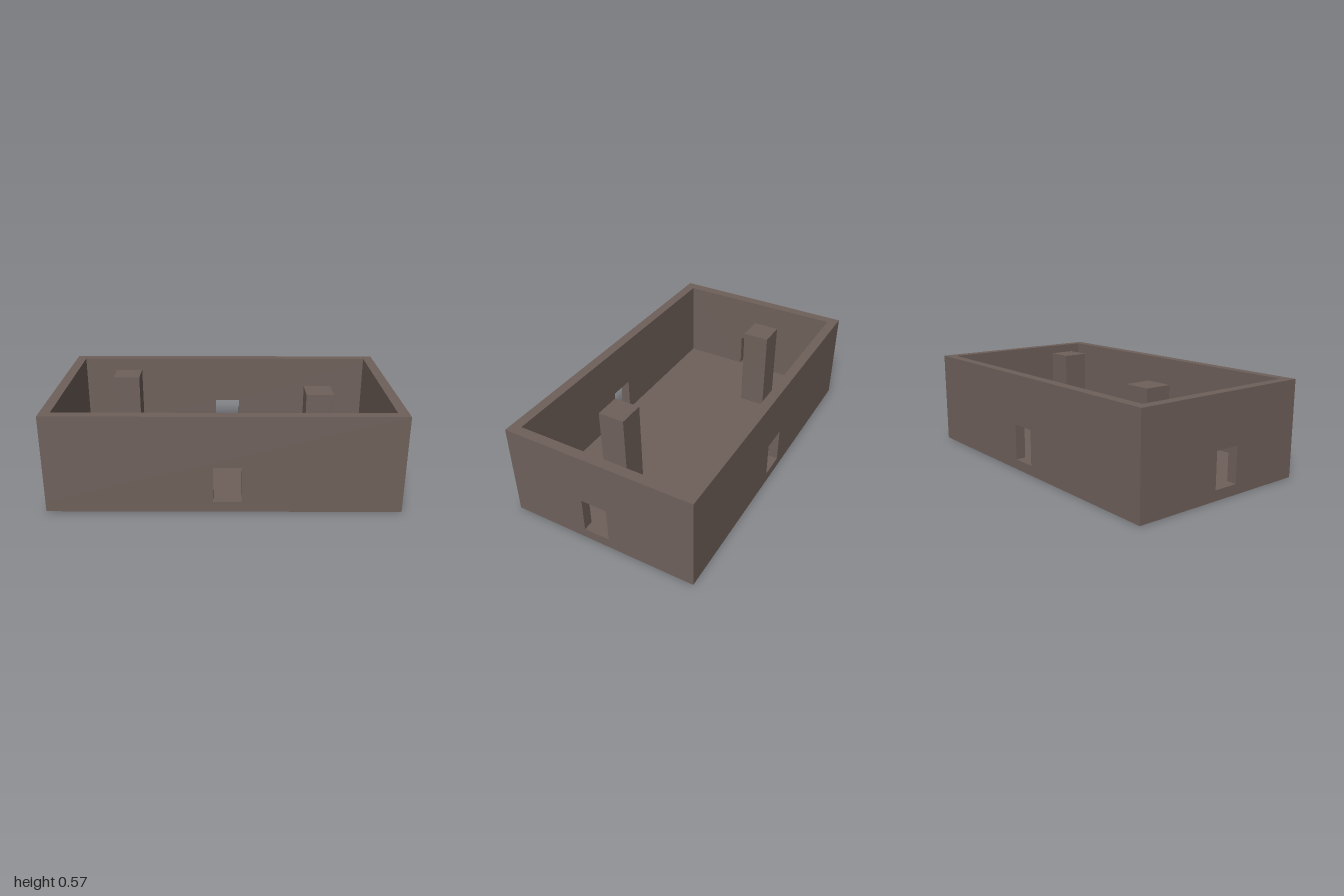
import * as THREE from 'three';

const W = 1, D = 0.572, H = 0.573, T = 0.06; // half width, half depth, height, thickness
const DOOR_TOP = 0.273;

// Wall standing on the floor, centred on its thickness, with a doorway from a to b
function wallGeometry(half, a, b) {
  const s = new THREE.Shape();
  s.moveTo(-half, T);
  s.lineTo(a, T);
  s.lineTo(a, DOOR_TOP);
  s.lineTo(b, DOOR_TOP);
  s.lineTo(b, T);
  s.lineTo(half, T);
  s.lineTo(half, H);
  s.lineTo(-half, H);
  s.closePath();
  const g = new THREE.ExtrudeGeometry(s, { depth: T, bevelEnabled: false });
  g.translate(0, 0, -T / 2);
  return g;
}

export function createModel() {
  const group = new THREE.Group();
  const stone = new THREE.MeshStandardMaterial({ color: 0x6f615b });
  stone.name = 'brown stone';

  const add = (name, geometry, x, y, z, turn = 0) => {
    const mesh = new THREE.Mesh(geometry, stone);
    mesh.name = name;
    mesh.position.set(x, y, z);
    mesh.rotation.y = turn;
    group.add(mesh);
  };

  // Floor slab
  add('floor', new THREE.BoxGeometry(2 * W, T, 2 * D), 0, T / 2, 0);

  // Long walls, then the short walls fitted between them
  const longWall = wallGeometry(W, -0.06, 0.1);
  add('frontWall', longWall, 0, 0, D - T / 2);
  add('backWall', longWall, 0, 0, -D + T / 2);
  const shortWall = wallGeometry(D - T, -0.107, 0.05);
  add('leftWall', shortWall, W - T / 2, 0, 0, Math.PI / 2);
  add('rightWall', shortWall, -W + T / 2, 0, 0, Math.PI / 2);

  // Two square pillars as tall as the walls
  const pillar = new THREE.BoxGeometry(0.16, H - T, 0.16);
  add('frontPillar', pillar, 0.557, (H + T) / 2, 0.145);
  add('backPillar', pillar, -0.61, (H + T) / 2, -0.177);

  return group;
}
